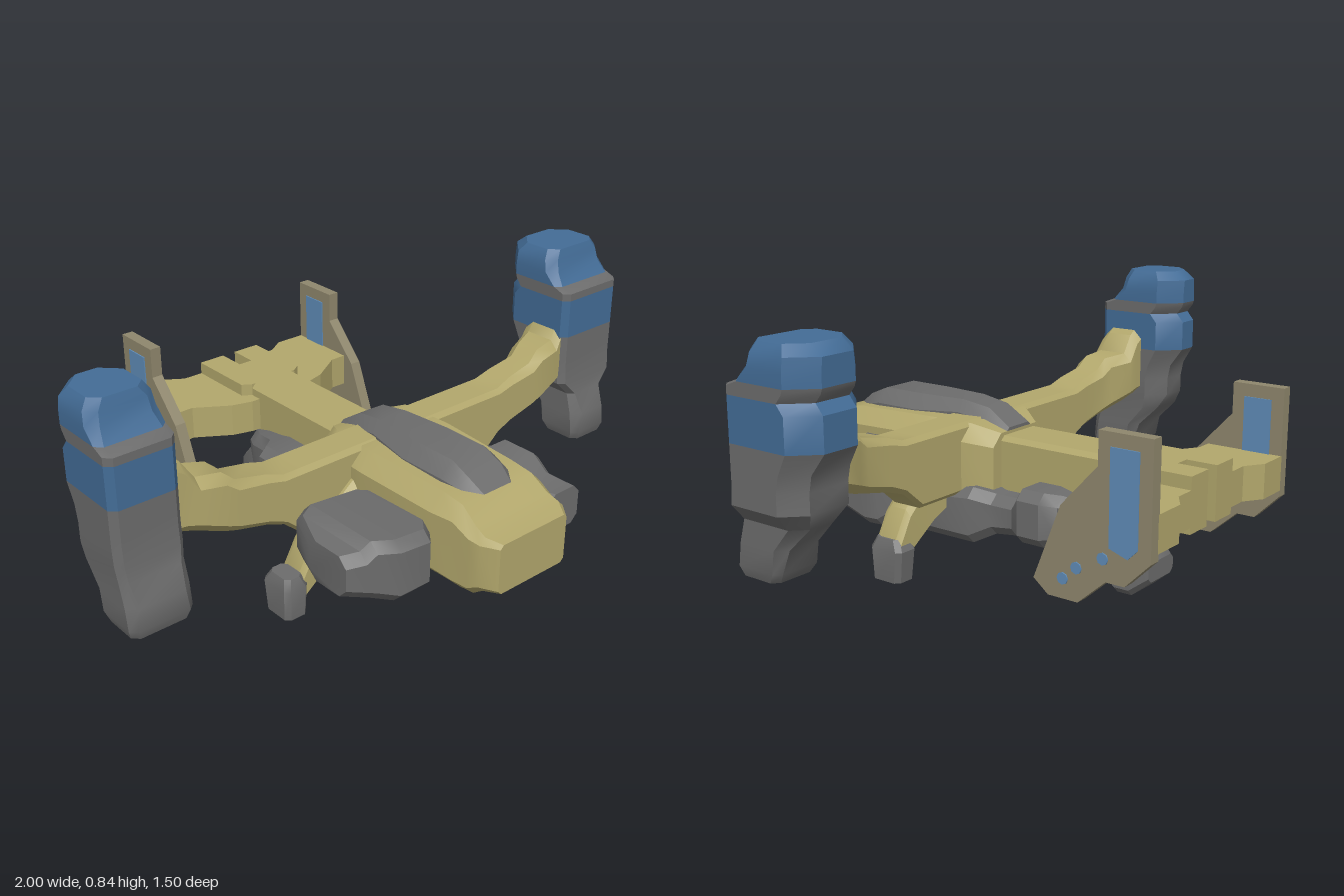
import * as THREE from 'three';
import { toCreasedNormals } from 'three/addons/utils/BufferGeometryUtils.js';

const mat = (name, color) => Object.assign(new THREE.MeshStandardMaterial({ color }), { name });

// Loft of chamfered rectangles along an axis.
// Row: [t, u0, u1, v0, v1, chamfer on u0 side, chamfer on u1 side], t ascending.
// (u, v) is (y, z) for x, (z, x) for y, (x, y) for z.
function loft(axis, rows) {
  const k = 'xyz'.indexOf(axis);
  const rings = rows.map(([t, u0, u1, v0, v1, c = 0.025, d = c]) =>
    [[u0 + c, v0], [u1 - d, v0], [u1, v0 + d], [u1, v1 - d],
      [u1 - d, v1], [u0 + c, v1], [u0, v1 - c], [u0, v0 + c]].map(([u, v]) => {
      const p = [];
      p[k] = t; p[(k + 1) % 3] = u; p[(k + 2) % 3] = v;
      return p;
    }));
  const pos = [];
  const tri = (...ps) => ps.forEach((p) => pos.push(...p));
  for (let i = 0; i < rings.length - 1; i++) {
    for (let j = 0; j < 8; j++) {
      const n = (j + 1) % 8, a = rings[i], b = rings[i + 1];
      tri(a[j], a[n], b[n]);
      tri(a[j], b[n], b[j]);
    }
  }
  const last = rings[rings.length - 1];
  for (let j = 1; j < 7; j++) {
    tri(last[0], last[j], last[j + 1]);
    tri(rings[0][0], rings[0][j + 1], rings[0][j]);
  }
  const g = new THREE.BufferGeometry();
  g.setAttribute('position', new THREE.Float32BufferAttribute(pos, 3));
  return toCreasedNormals(g, 0.6);
}

const shapeOf = (pts) => new THREE.Shape(pts.map(([x, y]) => new THREE.Vector2(x, y)));

// Plate lying in the z/y plane, centred on x
function sidePlate(pts, thickness, x) {
  return new THREE.ExtrudeGeometry(shapeOf(pts), { depth: thickness, bevelEnabled: false })
    .rotateY(-Math.PI / 2).translate(x + thickness / 2, 0, 0);
}

// Plate lying in the x/z plane, mirrored from its left outline of [x, -z] points
function flatPlate(half, y0, y1) {
  const pts = [...half, ...half.map(([x, z]) => [-x, z]).reverse()];
  return new THREE.ExtrudeGeometry(shapeOf(pts), { depth: y1 - y0, bevelEnabled: false })
    .rotateX(-Math.PI / 2).translate(0, y0, 0);
}

export function createModel() {
  const sand = mat('sand hull', 0xb2a76c);
  const grey = mat('dark grey metal', 0x6c6c6c);
  const blue = mat('blue paint', 0x436c96);
  const lightBlue = mat('light blue panel', 0x5f8cb8);
  const taupe = mat('taupe fin', 0x8f876d);

  const model = new THREE.Group();
  model.name = 'tiltEngineDropship';
  const add = (name, geometry, material, parent = model) => {
    const m = new THREE.Mesh(geometry, material);
    m.name = name;
    parent.add(m);
  };

  // Hull, from the rear boom to the nose
  add('fuselage', loft('z', [
    [-0.02, -0.13, 0.13, 0.2, 0.43, 0.04], [0.06, -0.19, 0.19, 0.18, 0.46, 0.05],
    [0.24, -0.2, 0.2, 0.17, 0.46, 0.05], [0.52, -0.19, 0.19, 0.17, 0.45, 0.05],
    [0.6, -0.18, 0.18, 0.17, 0.44, 0.04], [0.66, -0.175, 0.175, 0.18, 0.4, 0.03],
    [0.7, -0.17, 0.17, 0.21, 0.385, 0.02], [0.75, -0.14, 0.13, 0.215, 0.375, 0.012],
  ]), sand);
  add('rearBoom', loft('z', [
    [-0.46, -0.09, 0.09, 0.24, 0.42, 0.015], [0.08, -0.09, 0.09, 0.22, 0.42, 0.015],
  ]), sand);
  add('canopy', loft('z', [
    [-0.02, -0.07, 0.07, 0.38, 0.44, 0.02], [0.06, -0.08, 0.08, 0.38, 0.49, 0.035],
    [0.16, -0.085, 0.085, 0.38, 0.505, 0.035], [0.32, -0.11, 0.11, 0.38, 0.505, 0.045],
    [0.48, -0.11, 0.11, 0.38, 0.505, 0.045], [0.55, -0.095, 0.095, 0.38, 0.475, 0.03],
    [0.6, -0.08, 0.08, 0.38, 0.44, 0.025],
  ]), grey);
  add('belly', loft('z', [
    [-0.43, -0.12, 0.12, 0.17, 0.26, 0.03], [-0.36, -0.16, 0.16, 0.14, 0.28, 0.03],
    [-0.29, -0.17, 0.17, 0.13, 0.29, 0.03], [-0.25, -0.215, 0.21, 0.13, 0.3, 0.03],
    [-0.17, -0.215, 0.21, 0.13, 0.3, 0.03], [-0.12, -0.17, 0.17, 0.13, 0.25, 0.03],
    [-0.04, -0.17, 0.17, 0.12, 0.25, 0.03], [0.02, -0.21, 0.21, 0.09, 0.27, 0.03],
    [0.3, -0.215, 0.21, 0.09, 0.24, 0.03], [0.36, -0.18, 0.18, 0.14, 0.22, 0.03],
  ]), grey);
  add('tailSkid', loft('z', [
    [-0.55, -0.07, 0.07, 0.05, 0.11, 0.015], [-0.49, -0.085, 0.085, 0.0, 0.17, 0.02],
    [-0.44, -0.085, 0.085, 0.0, 0.22, 0.02], [-0.28, -0.08, 0.08, 0.13, 0.25, 0.02],
  ]), grey);

  // Tail plane with a notch, and its raised centre
  add('tailPlane', flatPlate([[0.025, 0.61], [0.025, 0.71], [0.19, 0.71], [0.25, 0.75],
    [0.36, 0.75], [0.36, 0.5], [0.3, 0.5], [0.19, 0.43], [0.12, 0.41]], 0.27, 0.38), sand);
  add('tailCentre', flatPlate([[0.025, 0.61], [0.025, 0.71], [0.12, 0.71], [0.12, 0.47],
    [0.09, 0.45]], 0.25, 0.42), sand);

  // Side pods, different on each side
  add('leftPod', loft('z', [
    [0.2, 0.17, 0.28, 0.19, 0.33], [0.28, 0.17, 0.34, 0.13, 0.34],
    [0.33, 0.17, 0.345, 0.13, 0.38], [0.45, 0.17, 0.345, 0.17, 0.38],
    [0.51, 0.17, 0.34, 0.19, 0.34], [0.62, 0.21, 0.34, 0.21, 0.34],
  ]), grey);
  add('rightPod', loft('x', [
    [-0.48, 0.22, 0.35, 0.34, 0.5, 0.03], [-0.43, 0.21, 0.36, 0.22, 0.53, 0.03],
    [-0.4, 0.2, 0.385, 0.22, 0.54, 0.03], [-0.34, 0.18, 0.38, 0.22, 0.57, 0.03],
    [-0.23, 0.18, 0.37, 0.22, 0.57, 0.03], [-0.17, 0.2, 0.36, 0.26, 0.5, 0.03],
  ]), grey);

  // Paired wings, landing legs and fins
  const wing = loft('x', [
    [0, 0.24, 0.465, 0.06, 0.19, 0.015], [0.28, 0.24, 0.465, 0.06, 0.19, 0.015],
    [0.37, 0.24, 0.465, 0.06, 0.19, 0.015], [0.44, 0.3, 0.465, 0.06, 0.19, 0.015],
    [0.5, 0.32, 0.485, 0.06, 0.19, 0.02], [0.6, 0.34, 0.505, 0.06, 0.19, 0.025],
    [0.64, 0.35, 0.54, 0.05, 0.19, 0.03], [0.72, 0.38, 0.55, 0.02, 0.18, 0.03],
    [0.76, 0.39, 0.61, 0.02, 0.17, 0.03], [0.84, 0.4, 0.66, 0.02, 0.17, 0.03],
  ]);
  const strut = loft('x', [
    [0.16, 0.2, 0.4, 0.1, 0.22, 0.02], [0.26, 0.15, 0.32, 0.11, 0.22, 0.02],
    [0.36, 0.07, 0.22, 0.12, 0.22, 0.02], [0.41, 0.03, 0.13, 0.12, 0.22, 0.02],
  ]);
  const finOutline = [[-0.58, 0.59], [-0.75, 0.59], [-0.75, 0.25], [-0.67, 0.17],
    [-0.61, 0.17], [-0.52, 0.09], [-0.42, 0.09], [-0.37, 0.13], [-0.46, 0.36], [-0.58, 0.49]];
  const finPanel = [[-0.62, 0.55], [-0.71, 0.55], [-0.71, 0.28], [-0.68, 0.25], [-0.62, 0.27]];
  const finSpots = [[-0.47, 0.15], [-0.515, 0.19], [-0.6, 0.235]];

  for (const [side, s] of [['left', 1], ['right', -1]]) {
    // A half turn about z then x mirrors x without flipping faces; lofts are rebuilt that way
    const mirror = (g) => {
      const m = g.clone();
      if (s > 0) return m;
      m.scale(-1, 1, 1);
      for (const a of [m.attributes.position, m.attributes.normal]) {
        for (let i = 0; i < a.count; i += 3) {
          const p = [a.getX(i), a.getY(i), a.getZ(i)];
          a.setXYZ(i, a.getX(i + 1), a.getY(i + 1), a.getZ(i + 1));
          a.setXYZ(i + 1, ...p);
        }
      }
      return m;
    };
    add(side + 'Wing', mirror(wing), sand);
    add(side + 'LegStrut', mirror(strut), sand);
    const footX = s > 0 ? 0.385 : -0.44;
    add(side + 'Foot', loft('y', [
      [0, 0.12, 0.23, footX - 0.04, footX + 0.04, 0.015],
      [0.1, 0.11, 0.235, footX - 0.043, footX + 0.043, 0.015],
      [0.135, 0.13, 0.22, footX - 0.03, footX + 0.03, 0.015],
    ]), grey);

    const fin = new THREE.Group();
    fin.name = side + 'Fin';
    model.add(fin);
    add('finBlade', sidePlate(finOutline, 0.038, s * 0.375), taupe, fin);
    for (const face of [-1, 1]) {
      const x = s * 0.375 + face * 0.02;
      add('finPanel', sidePlate(finPanel, 0.006, x), lightBlue, fin);
      for (const [z, y] of finSpots) {
        add('finSpot', new THREE.CylinderGeometry(0.018, 0.018, 0.006, 8)
          .rotateZ(Math.PI / 2).translate(x, y, z), lightBlue, fin);
      }
    }

    // Upright engine: leaning grey lower body, blue bands above
    const engine = new THREE.Group();
    engine.name = side + 'Engine';
    model.add(engine);
    const [a, b, la, lb] = s > 0 ? [0.74, 1, 0.79, 0.955] : [-1, -0.785, -0.995, -0.79];
    const band = (name, material, rows) => add(name, loft('y', rows), material, engine);
    band('engineExhaust', grey, [
      [0.17, 0.08, 0.22, la + 0.01, lb - 0.01, 0.02], [0.2, 0.06, 0.23, la, lb, 0.02],
      [0.27, 0.04, 0.23, la, lb, 0.03], [0.34, -0.03, 0.2, la, lb, 0.04, 0.02],
      [0.39, -0.06, 0.195, a, b, 0.06, 0.02], [0.45, -0.06, 0.19, a, b, 0.06, 0.02],
      [0.5, -0.07, 0.19, a, b, 0.06, 0.02], [0.56, -0.11, 0.19, a, b, 0.07, 0.02],
    ]);
    band('engineLowerBand', blue, [
      [0.56, -0.11, 0.19, a, b, 0.07, 0.02], [0.66, -0.11, 0.19, a, b, 0.07, 0.02],
      [0.69, -0.085, 0.19, a, b, 0.07, 0.02],
    ]);
    band('engineStripe', grey, [
      [0.69, -0.085, 0.19, a, b, 0.07, 0.02], [0.715, -0.105, 0.19, a, b, 0.07, 0.02],
      [0.73, -0.11, 0.15, a, b, 0.07, 0.02],
    ]);
    band('engineCap', blue, [
      [0.73, -0.11, 0.15, a, b, 0.07, 0.02], [0.77, -0.11, 0.12, a, b, 0.07, 0.03],
      [0.81, -0.11, 0.11, a + 0.005, b - 0.005, 0.07, 0.03],
      [0.84, -0.07, 0.1, a + 0.025, b - 0.025, 0.05, 0.03],
    ]);
  }
  return model;
}
